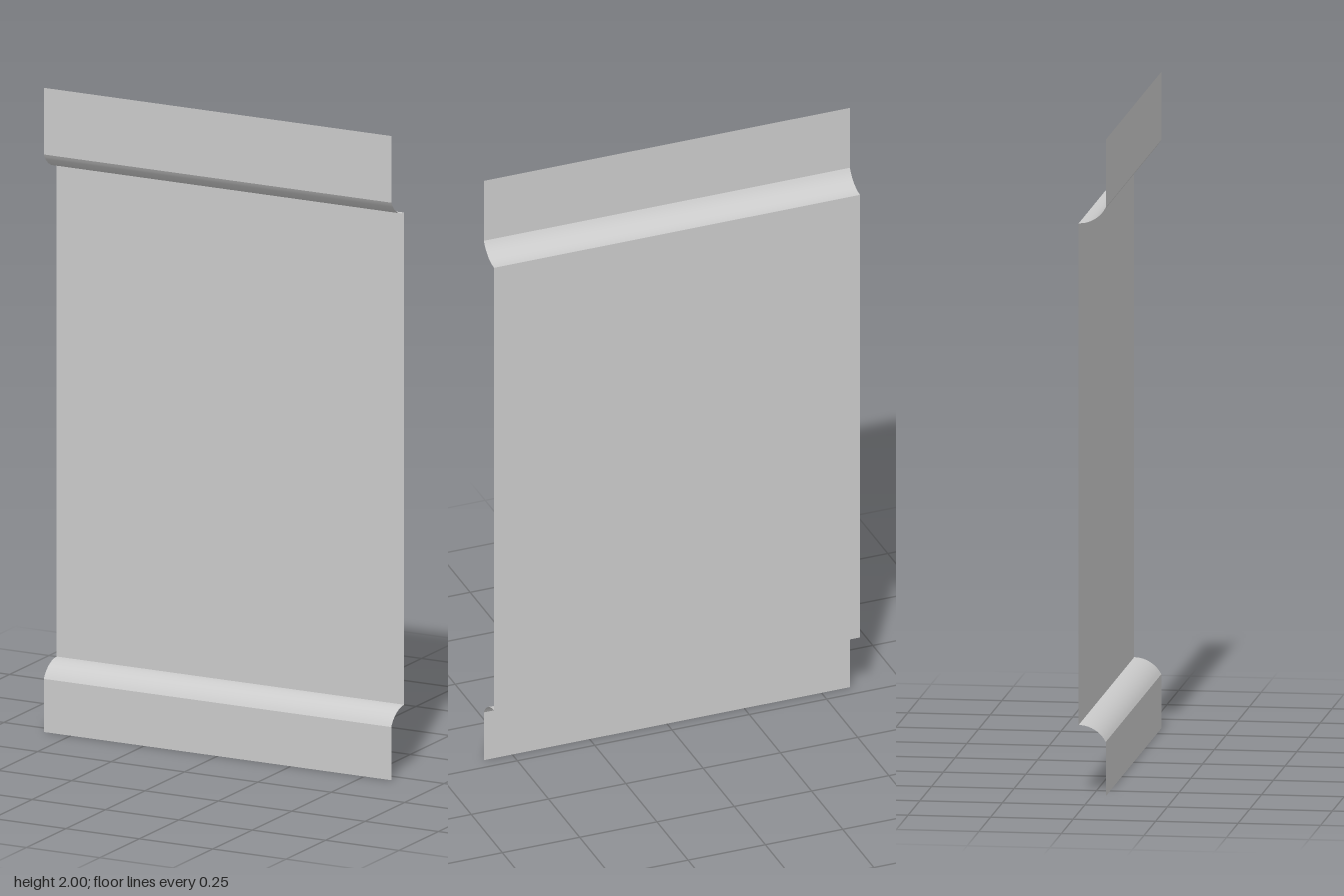
import * as THREE from 'three';

const WIDTH = 1.184;
const DEPTH = 0.041;          // flanges at +DEPTH, panel at -DEPTH
const RISE = 0.05;            // height of each curved step
const LOW = 0.165, HIGH = 1.793;

export function createModel() {
  const group = new THREE.Group();
  const material = new THREE.MeshStandardMaterial({ color: 0xcccccc, side: THREE.DoubleSide });

  function add(name, geometry) {
    const mesh = new THREE.Mesh(geometry, material);
    mesh.name = name;
    group.add(mesh);
  }

  // Flat upright sheet between two heights
  function sheet(name, y0, y1, z) {
    add(name, new THREE.PlaneGeometry(WIDTH, y1 - y0).translate(0, (y0 + y1) / 2, z));
  }

  // Curved step from flange to panel, meeting the panel at a right angle
  function step(name, flangeY, dir) {
    const radius = ((2 * DEPTH) ** 2 + RISE ** 2) / (2 * RISE);
    const sweep = Math.asin((2 * DEPTH) / radius);
    const centerY = flangeY + dir * (RISE - radius);
    const geometry = new THREE.PlaneGeometry(WIDTH, 1, 1, 10);
    const pos = geometry.attributes.position;
    for (let i = 0; i < pos.count; i++) {
      const t = 0.5 - dir * pos.getY(i);
      const a = sweep * t;
      pos.setY(i, centerY + dir * radius * Math.cos(a));
      pos.setZ(i, -DEPTH + radius * Math.sin(a));
    }
    geometry.computeVertexNormals();
    add(name, geometry);
  }

  sheet('bottomFlange', 0, LOW, DEPTH);
  step('bottomStep', LOW, 1);
  sheet('mainPanel', LOW + RISE, HIGH - RISE, -DEPTH);
  step('topStep', HIGH, -1);
  sheet('topFlange', HIGH, 2, DEPTH);

  return group;
}
